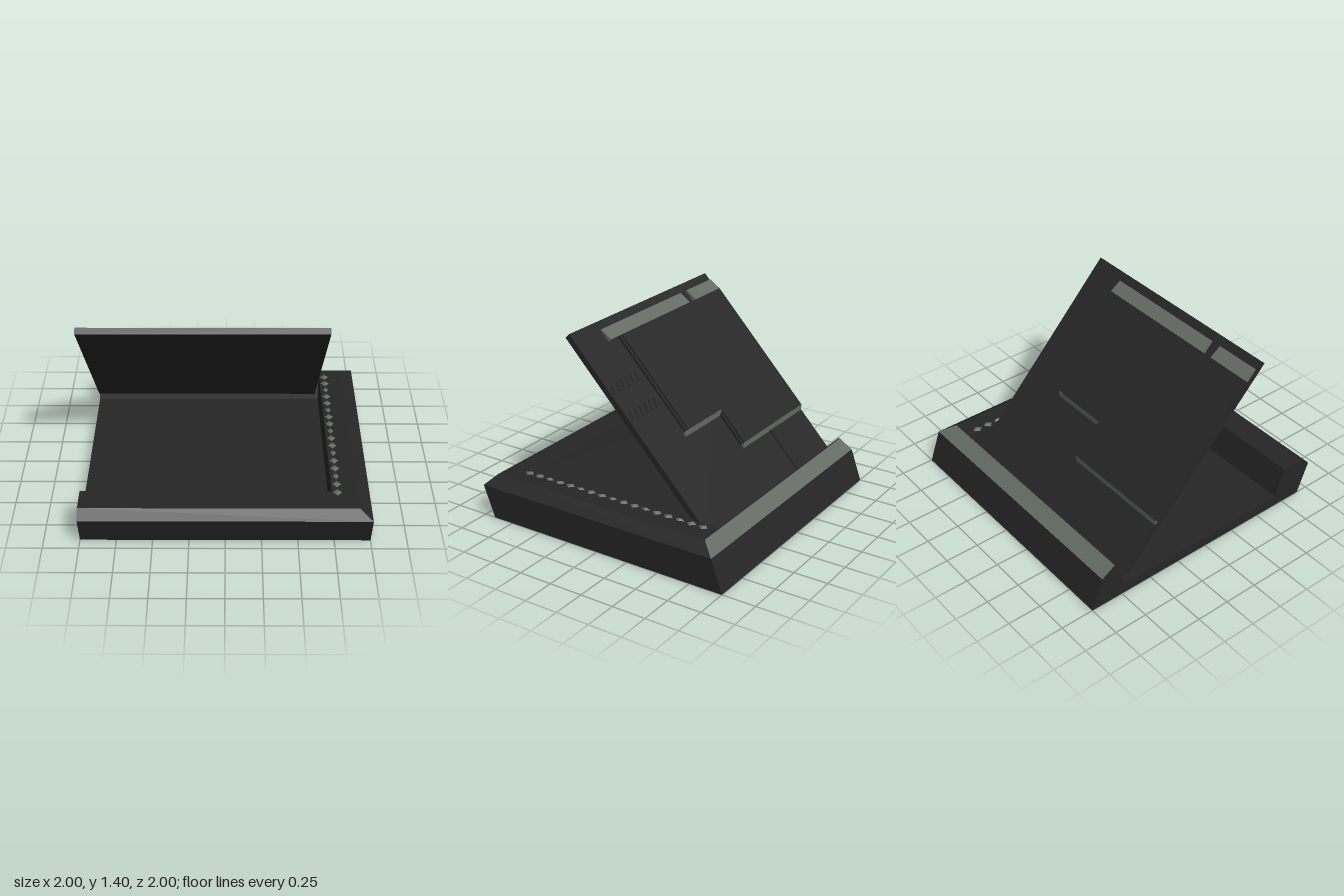
import * as THREE from 'three';

export function createModel() {
  const root = new THREE.Group();
  const dark = new THREE.MeshStandardMaterial({ color: 0x262626 });
  dark.name = 'dark shell';
  const grey = new THREE.MeshStandardMaterial({ color: 0x646a64 });
  grey.name = 'worn grey';

  const add = (parent, name, geometry, material) => {
    const mesh = new THREE.Mesh(geometry, material);
    mesh.name = name;
    parent.add(mesh);
    return mesh;
  };
  const quads = (list) => {
    const pos = [];
    for (const [a, b, c, d] of list) pos.push(...a, ...b, ...c, ...a, ...c, ...d);
    const g = new THREE.BufferGeometry();
    g.setAttribute('position', new THREE.Float32BufferAttribute(pos, 3));
    g.computeVertexNormals();
    return g;
  };
  const shapeOf = (pts) => new THREE.Shape(pts.map(([x, y]) => new THREE.Vector2(x, y)));

  // Base tray: cross-sections [height, right x, back z, front z], open at the left end
  const base = new THREE.Group();
  base.name = 'base';
  root.add(base);
  const sections = [
    [0, 1, -1, 0.91], [0.235, 1, -0.915, 1], [0.3, 0.91, -0.81, 0.94],
    [0.3, 0.73, -0.8, 0.75], [0.08, 0.73, -0.73, 0.68],
  ];
  const loops = sections.map(([y, r, b, f]) => [[-1, y, b], [r, y, b], [r, y, f], [-1, y, f]]);
  const shell = [], backChamfer = [];
  for (let k = 0; k < 4; k++) {
    for (let i = 0; i < 3; i++) {
      const face = [loops[k][i], loops[k + 1][i], loops[k + 1][i + 1], loops[k][i + 1]];
      (k === 1 && i === 0 ? backChamfer : shell).push(face);
    }
  }
  shell.push(loops[0], [...loops[4]].reverse());
  add(base, 'tray', quads(shell), dark);
  add(base, 'backChamfer', quads(backChamfer), grey);

  // U-shaped section closing the left end
  const outline = [
    ...sections.map((s) => [s[2], s[0]]),
    ...[...sections].reverse().map((s) => [s[3], s[0]]),
  ];
  const cap = add(base, 'leftEnd', new THREE.ShapeGeometry(shapeOf(outline)), dark);
  cap.rotation.y = -Math.PI / 2;
  cap.position.x = -1;

  // Row of low teeth on the right rim
  const tooth = new THREE.ConeGeometry(0.04, 0.014, 4).toNonIndexed();
  tooth.computeVertexNormals();
  for (let i = 0; i < 17; i++) {
    const m = add(base, 'rimTooth', tooth, grey);
    m.position.set(0.77, 0.306, -0.71 + i * 0.0919);
    m.scale.set(i % 3 === 2 ? 0.6 : 0.85, 1, 1);
  }

  // Lid: local y runs up the slope, local -z is the outer face
  const lid = new THREE.Group();
  lid.name = 'lid';
  lid.position.set(0, 0.183, -0.73);
  lid.rotation.x = 0.755;
  root.add(lid);
  const block = (name, x0, x1, v0, v1, h0, h1, mat = dark) => {
    const m = add(lid, name, new THREE.BoxGeometry(x1 - x0, v1 - v0, h1 - h0), mat);
    m.position.set((x0 + x1) / 2, (v0 + v1) / 2, -(h0 + h1) / 2);
  };
  block('lidPanel', -1, 0.7, 0, 1.67, -0.045, 0);

  // Raised stepped plate on the outer face
  const plate = shapeOf([[-1, 0.41], [-0.15, 0.41], [-0.15, 0.7], [0.28, 0.7], [0.28, 1.507], [-1, 1.507]]);
  add(lid, 'raisedPlate', new THREE.ExtrudeGeometry(plate, { depth: 0.03, bevelEnabled: false }), dark)
    .position.z = -0.03;

  // Bars of constant section along x, profile points are [up the slope, height]
  const basis = new THREE.Matrix4().makeBasis(
    new THREE.Vector3(0, 1, 0), new THREE.Vector3(0, 0, -1), new THREE.Vector3(-1, 0, 0));
  const bar = (name, x0, x1, profile, mat) => {
    const g = new THREE.ExtrudeGeometry(shapeOf(profile), { depth: x1 - x0, bevelEnabled: false });
    g.applyMatrix4(basis);
    add(lid, name, g, mat).position.x = x1;
  };
  const upper = [[1.507, 0], [1.606, 0], [1.606, 0.01], [1.507, 0.031]];
  bar('upperSlope', -1, -0.66, upper, grey);
  bar('upperSlope', -0.58, 0.41, upper, grey);
  const step = (v) => [[v - 0.032, 0], [v, 0], [v, 0.03]];
  bar('lowerStep', -1, -0.14, step(0.41), grey);
  bar('middleStep', -0.18, 0.32, step(0.7), grey);

  // Side ledges of the plate and the small hinge-end cover
  block('sideLedge', 0.28, 0.3, 0.7, 1.507, 0, 0.018);
  block('sideLedge', -0.15, -0.13, 0.41, 0.68, 0, 0.018);
  block('hingeCover', -0.66, -0.51, 0.01, 0.38, 0, 0.01);

  // Two combs of small vents beside the plate
  for (const v of [0.98, 1.2]) {
    block('ventLine', 0.34, 0.69, v - 0.035, v - 0.028, 0, 0.006);
    for (let i = 0; i < 6; i++) {
      const x = 0.37 + i * 0.055;
      const tri = shapeOf([[x - 0.022, v - 0.028], [x + 0.022, v - 0.028], [x, v + 0.035]]);
      add(lid, 'ventTooth', new THREE.ExtrudeGeometry(tri, { depth: 0.008, bevelEnabled: false }), dark)
        .position.z = -0.008;
    }
  }
  return root;
}
